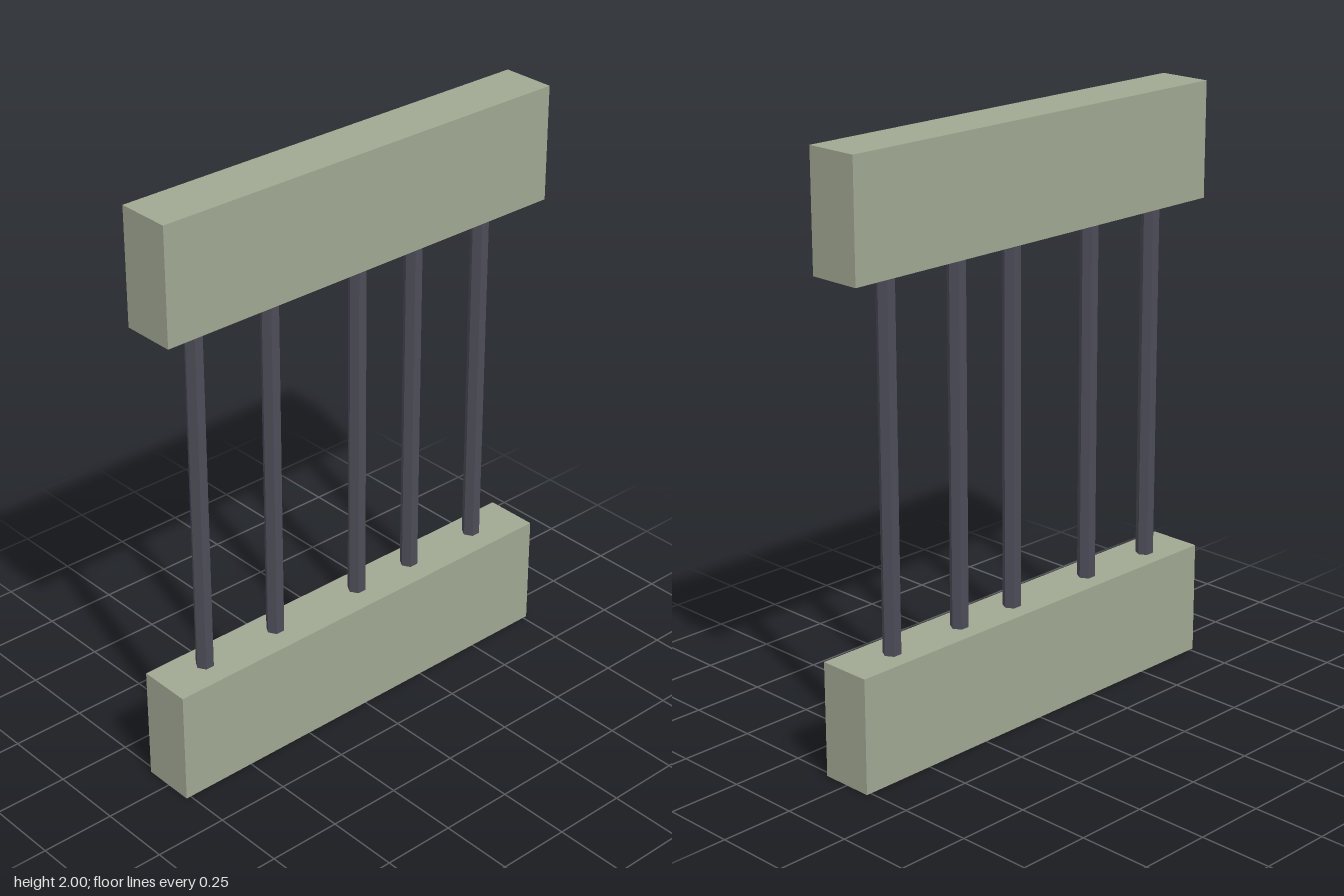
import * as THREE from 'three';

const WIDTH = 0.184, LENGTH = 1.532, BEAM_HEIGHT = 0.388;
const BAR_RADIUS = 0.0305, BAR_X = -0.008;
const BAR_Z = [0.597, 0.305, -0.048, -0.284, -0.575]; // uneven spacing

export function createModel() {
  const group = new THREE.Group();
  group.name = 'barredWindow';

  const stone = new THREE.MeshStandardMaterial({ color: 0xa0a792, flatShading: true });
  const iron = new THREE.MeshStandardMaterial({ color: 0x4b4c57, flatShading: true });

  // Sill and lintel beams
  const beamGeometry = new THREE.BoxGeometry(WIDTH, BEAM_HEIGHT, LENGTH);
  const addBeam = (name, y) => {
    const beam = new THREE.Mesh(beamGeometry, stone);
    beam.name = name;
    beam.position.y = y;
    group.add(beam);
  };
  addBeam('sill', BEAM_HEIGHT / 2);
  addBeam('lintel', 2 - BEAM_HEIGHT / 2);

  // Hexagonal bars spanning the gap, corners pointing along z
  const barGeometry = new THREE.CylinderGeometry(BAR_RADIUS, BAR_RADIUS, 2 - 2 * BEAM_HEIGHT, 6);
  BAR_Z.forEach((z, i) => {
    const bar = new THREE.Mesh(barGeometry, iron);
    bar.name = `bar${i + 1}`;
    bar.position.set(BAR_X, 1, z);
    group.add(bar);
  });

  return group;
}
